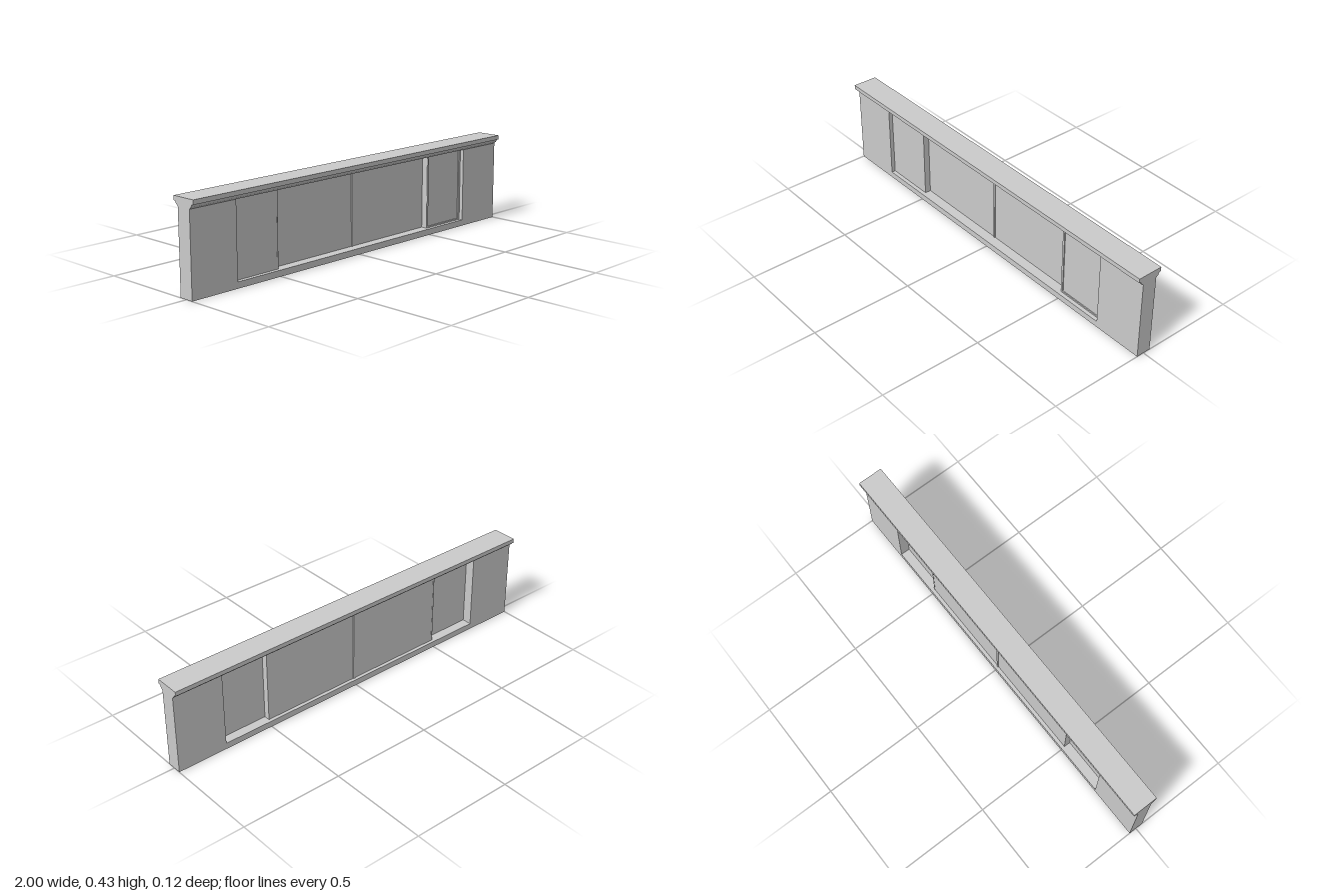
import * as THREE from 'three';

export function createModel() {
  const group = new THREE.Group();
  group.name = 'panelledWall';
  const material = new THREE.MeshStandardMaterial({ color: 0xcccccc, flatShading: true });

  const BASE = 0.03, TOP = 0.39, HALF = 0.037;

  // Box given by its limits on each axis
  function block(name, x0, x1, y0, y1, z0, z1) {
    const mesh = new THREE.Mesh(new THREE.BoxGeometry(x1 - x0, y1 - y0, z1 - z0), material);
    mesh.position.set((x0 + x1) / 2, (y0 + y1) / 2, (z0 + z1) / 2);
    mesh.name = name;
    group.add(mesh);
  }

  // Solid ends and the sill between them
  block('rightEndWall', -1, -0.75, 0, TOP, -HALF, HALF);
  block('leftEndWall', 0.75, 1, 0, TOP, -HALF, HALF);
  block('sill', -0.75, 0.75, 0, BASE, -HALF, HALF);

  // Moulded cornice: half profile (z, y) mirrored and extruded along x
  const half = [[HALF, TOP], [0.042, 0.395], [0.048, 0.399], [0.051, 0.406],
    [0.054, 0.411], [0.062, 0.412], [0.062, 0.433]];
  const outline = [...half, ...half.map(([z, y]) => [-z, y]).reverse()];
  const shape = new THREE.Shape(outline.map(([z, y]) => new THREE.Vector2(z, y)));
  const corniceGeometry = new THREE.ExtrudeGeometry(shape, { depth: 2, bevelEnabled: false });
  corniceGeometry.translate(0, 0, -1).rotateY(Math.PI / 2);
  const cornice = new THREE.Mesh(corniceGeometry, material);
  cornice.name = 'cornice';
  group.add(cornice);

  // Wide middle panels, set towards the back
  block('middleRightPanel', -0.5, 0, BASE, TOP, -0.02, -0.013);
  block('middleLeftPanel', 0, 0.5, BASE, TOP, -0.02, -0.013);
  block('middlePost', -0.005, 0.005, BASE, TOP, -0.024, -0.009);

  // Narrow outer panels, set towards the front
  block('outerRightPanel', -0.75, -0.5, BASE, TOP, 0.011, 0.017);
  block('outerLeftPanel', 0.508, 0.738, 0.037, TOP - 0.005, 0.009, 0.013);

  // Slim frame around the outer left panel
  block('outerFrameSide', 0.5, 0.508, BASE, TOP, 0.009, 0.018);
  block('outerFrameSide', 0.738, 0.75, BASE, TOP, 0.009, 0.018);
  block('outerFrameRail', 0.508, 0.738, BASE, 0.037, 0.009, 0.018);
  block('outerFrameRail', 0.508, 0.738, TOP - 0.005, TOP, 0.009, 0.018);

  // Returns joining the front and back panels
  for (const side of [-1, 1]) {
    block('panelReturn', side * 0.5 - 0.003, side * 0.5 + 0.003, BASE, TOP, -0.021, 0.0175);
  }

  return group;
}
